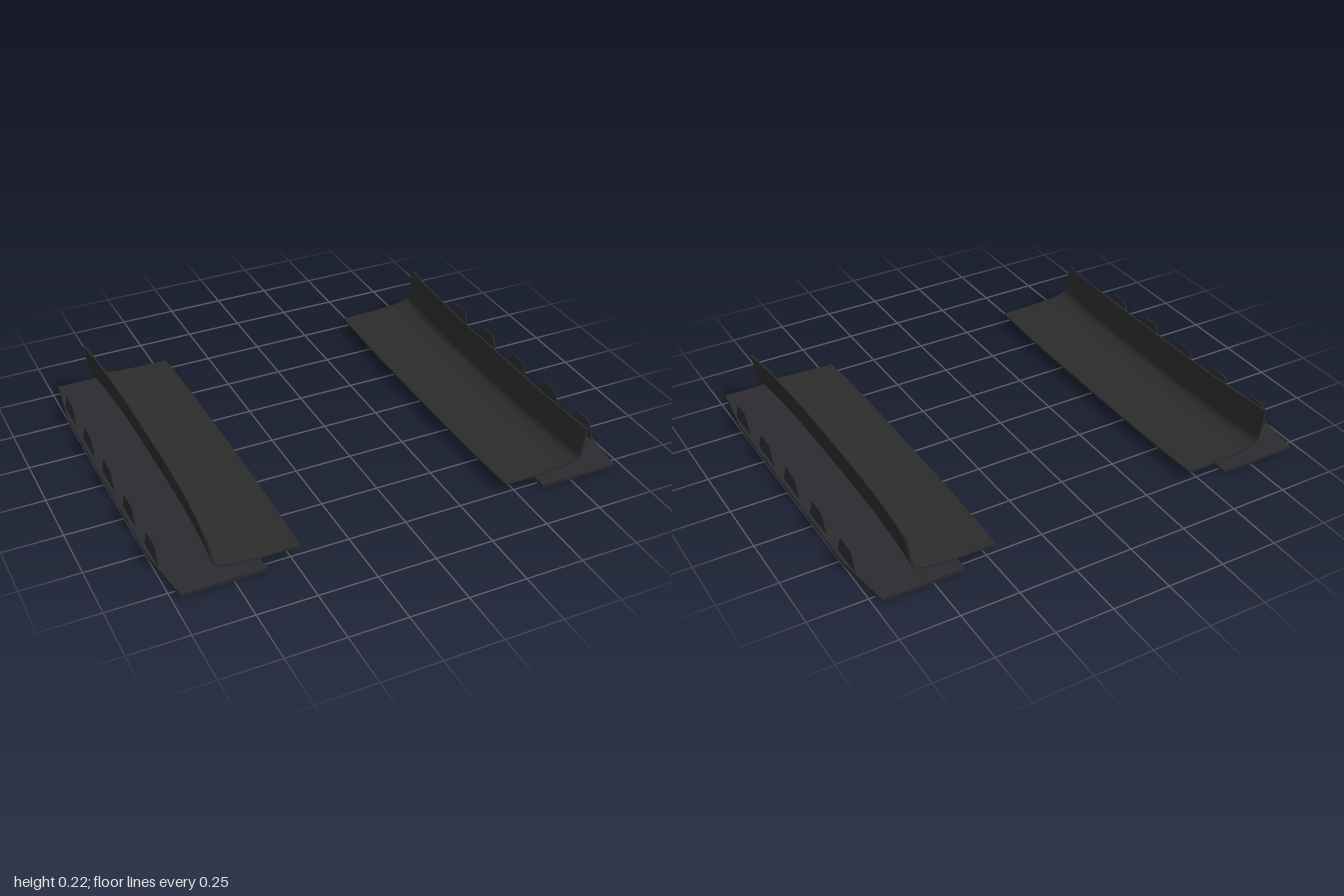
import * as THREE from 'three';
import { toCreasedNormals } from 'three/addons/utils/BufferGeometryUtils.js';

const skirtMat = new THREE.MeshStandardMaterial({ color: 0x2c2c2c });
const plateMat = new THREE.MeshStandardMaterial({ color: 0x2c2b30 });

// Flat outline extruded to a given thickness
function slab(points, depth) {
  const shape = new THREE.Shape(points.map(([x, y]) => new THREE.Vector2(x, y)));
  return new THREE.ExtrudeGeometry(shape, { depth, bevelEnabled: false });
}

// Mirror a non-indexed geometry across x, keeping faces outward
function mirrorX(geometry) {
  const g = geometry.clone();
  for (const attr of [g.attributes.position, g.attributes.normal]) {
    const a = attr.array;
    for (let i = 0; i < a.length; i += 9) {
      for (let k = 0; k < 9; k += 3) a[i + k] *= -1;
      for (let k = 0; k < 3; k++) [a[i + 3 + k], a[i + 6 + k]] = [a[i + 6 + k], a[i + 3 + k]];
    }
  }
  return g;
}

// Curved L-shaped skirt lofted along z, bowing outward at both ends
function skirtGeometry() {
  const half = 0.004, steps = 24, stations = 20, length = 1.506;
  const curve = new THREE.CatmullRomCurve3([
    [0.448, 0.039], [0.58, 0.041], [0.68, 0.046], [0.75, 0.056],
    [0.785, 0.075], [0.796, 0.115], [0.803, 0.165], [0.81, 0.215],
  ].map(([x, y]) => new THREE.Vector3(x, y, 0)));
  const inner = [], outer = [];
  for (let i = 0; i <= steps; i++) {
    const p = curve.getPoint(i / steps), t = curve.getTangent(i / steps);
    outer.push([p.x + t.y * half, p.y - t.x * half]);
    inner.push([p.x - t.y * half, p.y + t.x * half]);
  }
  const loop = [...outer, ...inner.reverse()], n = loop.length;
  const pos = [], idx = [];
  for (let j = 0; j <= stations; j++) {
    const u = (j / stations) * 2 - 1, bow = Math.abs(u) ** 3;
    // The wall is slightly taller at the back and lower at the front
    const wallScale = u < 0 ? 1 - 0.022 * u : 1 - 0.082 * u * u;
    for (const [x, y] of loop) {
      const rise = THREE.MathUtils.clamp((x - 0.45) / 0.36, 0, 1);
      const wallY = y > 0.08 ? 0.08 + (y - 0.08) * wallScale : y;
      pos.push(x + bow * (0.013 + 0.014 * rise), wallY, u * length / 2);
    }
  }
  for (let j = 0; j < stations; j++) {
    for (let i = 0; i < n; i++) {
      const a = j * n + i, b = j * n + (i + 1) % n;
      idx.push(a, b, b + n, a, b + n, a + n);
    }
  }
  // End caps
  const last = stations * n;
  for (let i = 0; i < steps; i++) {
    const a = i, b = i + 1, c = n - 2 - i, d = n - 1 - i;
    idx.push(a, c, b, a, d, c);
    idx.push(last + a, last + b, last + c, last + a, last + c, last + d);
  }
  const g = new THREE.BufferGeometry();
  g.setAttribute('position', new THREE.Float32BufferAttribute(pos, 3));
  g.setIndex(idx);
  return toCreasedNormals(g, 0.6);
}

export function createModel() {
  const model = new THREE.Group();
  model.name = 'sideSkirts';

  const skirt = skirtGeometry();

  // Ground plate with tapered outer corners
  const plate = slab([
    [0.615, -0.79], [0.965, -0.79], [1, -0.53], [1, 0.53], [0.965, 0.79], [0.615, 0.79],
  ], 0.014).rotateX(-Math.PI / 2);

  // Upright trapezoid fin
  const fin = slab([
    [-0.08, 0.01], [0.08, 0.01], [0.05, 0.085], [0.042, 0.094], [-0.042, 0.094], [-0.05, 0.085],
  ], 0.005).rotateY(Math.PI / 2).translate(0.98, 0, 0);

  for (const side of ['left', 'right']) {
    const group = new THREE.Group();
    group.name = side + 'Side';
    const add = (name, geometry, material, z = 0) => {
      const mesh = new THREE.Mesh(side === 'left' ? geometry : mirrorX(geometry), material);
      mesh.name = name;
      mesh.position.z = z;
      group.add(mesh);
    };
    add('skirtPanel', skirt, skirtMat);
    add('groundPlate', plate, plateMat);
    for (let i = -2; i <= 2; i++) add('fin', fin, plateMat, i * 0.263);
    model.add(group);
  }
  return model;
}
